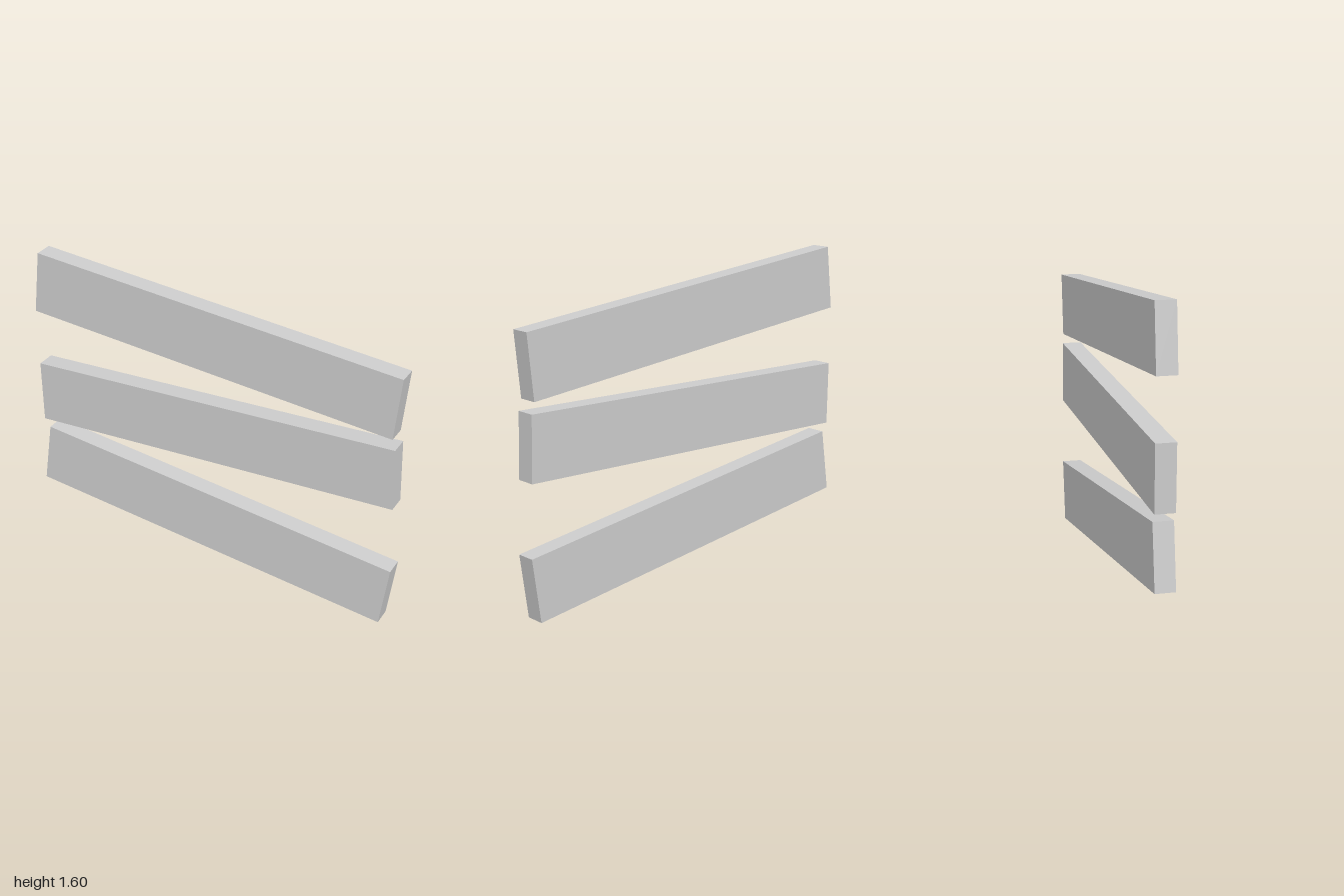
import * as THREE from 'three';

export function createModel() {
  const group = new THREE.Group();
  group.name = 'tiltedPlanks';
  const material = new THREE.MeshStandardMaterial({ color: 0xcccccc, flatShading: true });
  const plank = new THREE.BoxGeometry(1.974, 0.328, 0.1);

  // Three identical planks, each with its own height and tilt
  const planks = [
    ['topPlank', 0, 1.336, -0.104],
    ['middlePlank', -0.002, 0.83, 0.0213],
    ['bottomPlank', 0, 0.301, -0.14],
  ];
  for (const [name, x, y, tilt] of planks) {
    const mesh = new THREE.Mesh(plank, material);
    mesh.name = name;
    mesh.position.set(x, y, 0);
    mesh.rotation.z = tilt;
    group.add(mesh);
  }
  return group;
}
